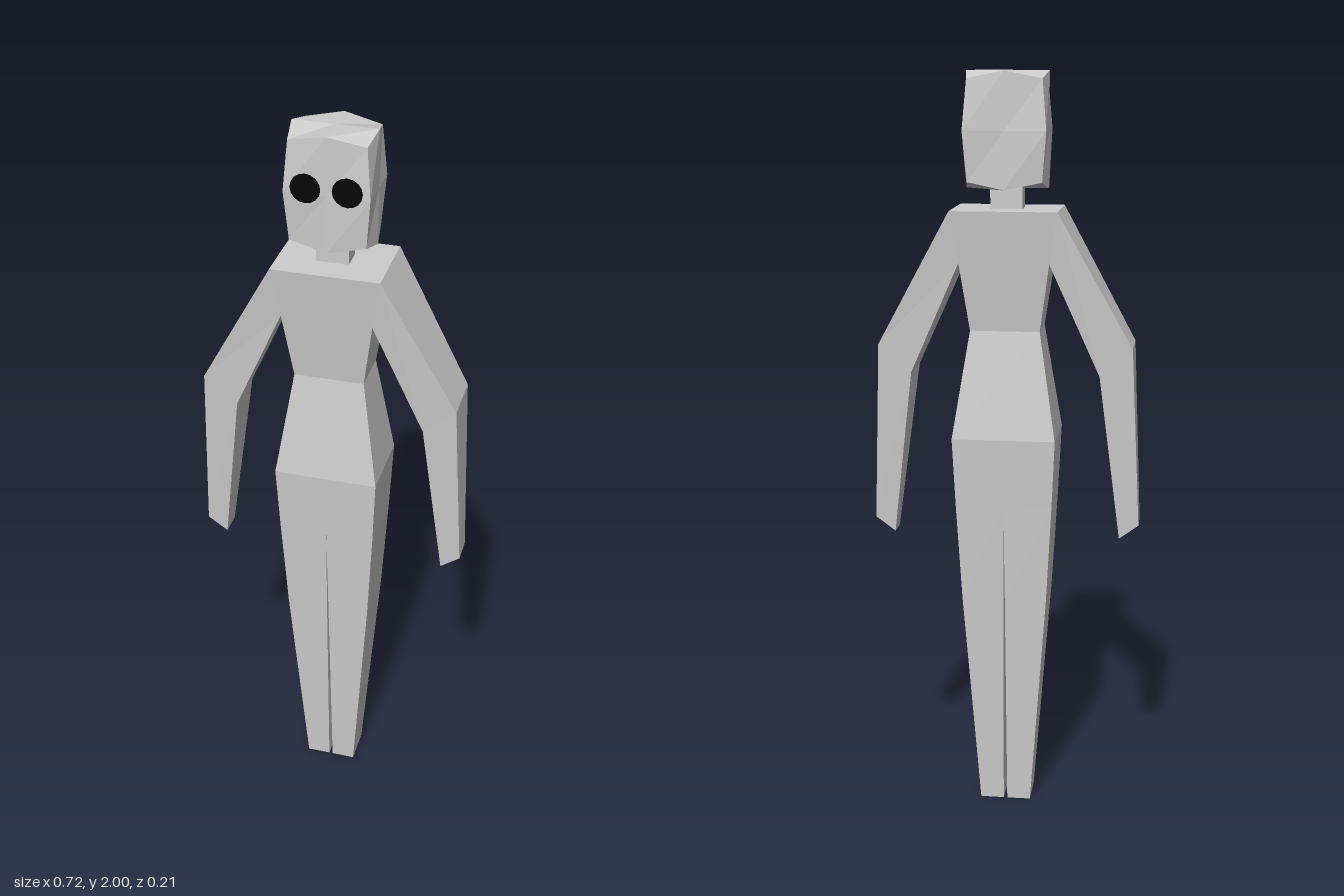
import * as THREE from 'three';

// Give a geometry hard, per-face normals.
function faceted(geometry) {
  const g = geometry.index ? geometry.toNonIndexed() : geometry;
  g.computeVertexNormals();
  return g;
}

// Skin four-cornered rings, listed top to bottom.
// Each ring: [right x, y, half depth, left x, y, half depth].
function loft(rings, capTop, capBottom) {
  const points = [];
  const index = [];
  for (const [xr, yr, dr, xl, yl, dl] of rings) {
    points.push(xr, yr, dr, xl, yl, dl, xl, yl, -dl, xr, yr, -dr);
  }
  for (let r = 0; r < rings.length - 1; r++) {
    for (let i = 0; i < 4; i++) {
      const a = r * 4 + i;
      const b = r * 4 + (i + 1) % 4;
      index.push(a, b, b + 4, a, b + 4, a + 4);
    }
  }
  if (capTop) index.push(0, 2, 1, 0, 3, 2);
  const e = (rings.length - 1) * 4;
  if (capBottom) index.push(e, e + 1, e + 2, e, e + 2, e + 3);
  const g = new THREE.BufferGeometry();
  g.setAttribute('position', new THREE.Float32BufferAttribute(points, 3));
  g.setIndex(index);
  return faceted(g);
}

// Mirror rings across x = 0, keeping the corner order.
const mirror = (rings) =>
  rings.map(([xr, yr, dr, xl, yl, dl]) => [-xl, yl, dl, -xr, yr, dr]);

export function createModel() {
  const model = new THREE.Group();
  model.name = 'figure';
  const skin = new THREE.MeshStandardMaterial({ color: 0xcccccc });
  skin.name = 'light grey';
  const black = new THREE.MeshStandardMaterial({ color: 0x050505 });
  black.name = 'black';

  const add = (name, geometry, material, x = 0, y = 0, z = 0) => {
    const mesh = new THREE.Mesh(geometry, material);
    mesh.name = name;
    mesh.position.set(x, y, z);
    model.add(mesh);
  };

  // Torso: shoulders, armpits, waist, hips, crotch (half width, height, half depth)
  const torso = [
    [0.14, 1.65, 0.103],
    [0.118, 1.515, 0.086],
    [0.092, 1.335, 0.063],
    [0.137, 1.05, 0.103],
    [0.129, 0.87, 0.094],
  ].map(([w, y, d]) => [w, y, d, -w, y, d]);
  add('torso', loft(torso, true, false), skin);

  // Legs, parted by a narrow tapering slit
  const leg = [
    [0.129, 0.87, 0.094, 0, 0.87, 0.094],
    [0.114, 0.6, 0.081, 0.002, 0.6, 0.081],
    [0.069, 0, 0.05, 0.005, 0, 0.05],
  ];
  add('leftLeg', loft(leg, false, true), skin);
  add('rightLeg', loft(mirror(leg), false, true), skin);

  // Arms: shoulder, elbow, blunt end
  const arm = [
    [0.14, 1.65, 0.103, 0.118, 1.515, 0.086],
    [0.336, 1.295, 0.071, 0.25, 1.22, 0.065],
    [0.358, 0.81, 0.036, 0.306, 0.77, 0.032],
  ];
  add('leftArm', loft(arm, false, true), skin);
  add('rightArm', loft(mirror(arm), false, true), skin);

  // Neck
  add('neck', new THREE.BoxGeometry(0.084, 0.06, 0.058), skin, 0, 1.678, 0);

  // Head: a divided box whose eight corners are drawn inward
  const half = [0.108, 0.149, 0.082];
  const head = new THREE.BoxGeometry(2 * half[0], 2 * half[1], 2 * half[2], 2, 2, 2);
  const p = head.attributes.position;
  for (let i = 0; i < p.count; i++) {
    const v = [p.getX(i), p.getY(i), p.getZ(i)];
    if (v.every((c) => Math.abs(c) > 0.01)) {
      p.setXYZ(i, v[0] * 0.9, v[1] * 0.87, v[2] * 0.88);
    }
  }
  add('head', faceted(head), skin, 0, 1.851, 0);

  // Eyes: flat discs on the face
  for (const side of [1, -1]) {
    const name = side > 0 ? 'leftEye' : 'rightEye';
    add(name, new THREE.CircleGeometry(0.038, 16), black, side * 0.052, 1.866, 0.0835);
  }

  return model;
}
